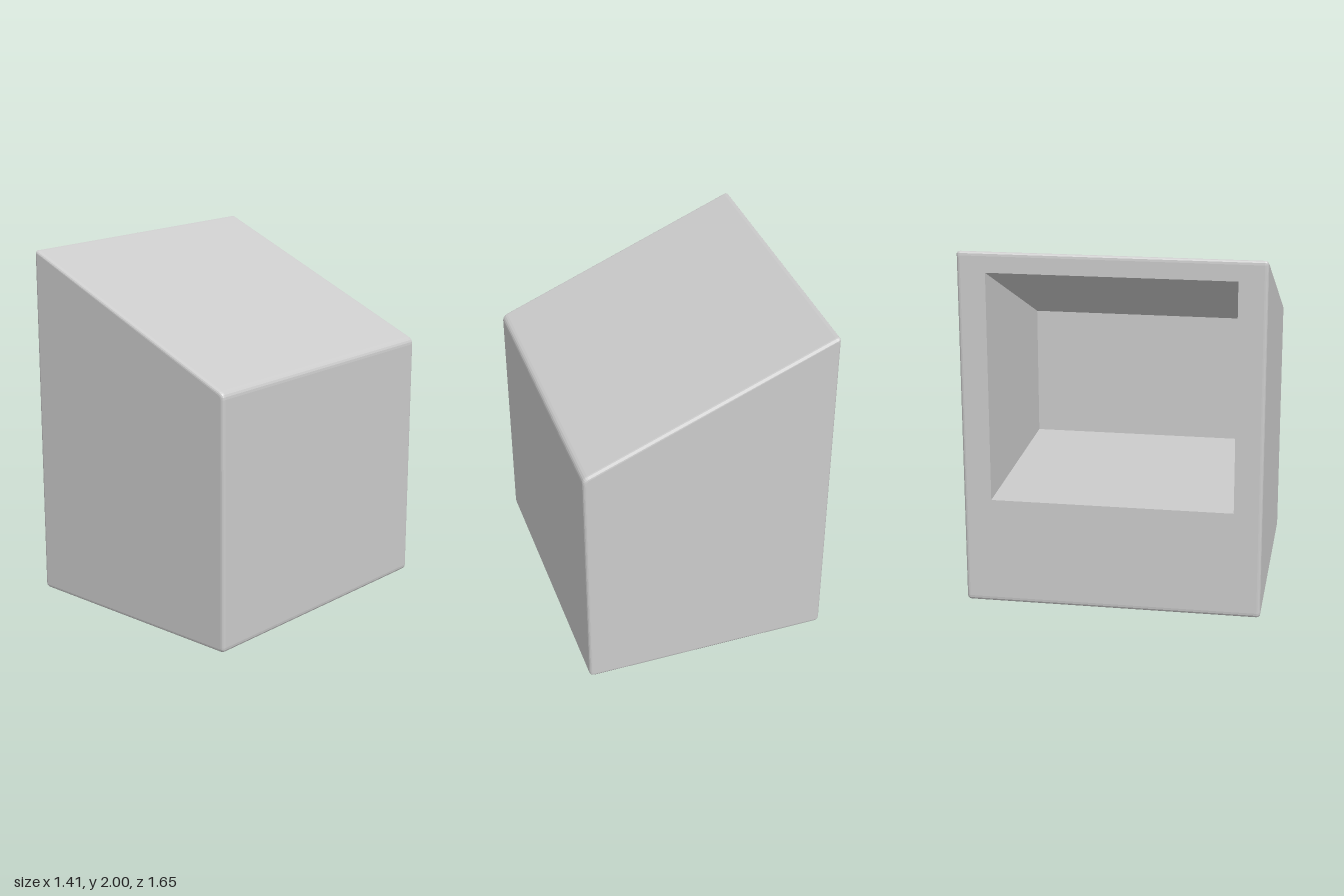
import * as THREE from 'three';

const HALF_X = 0.705, HALF_Z = 0.825, BEVEL = 0.02, ROUND = 0.03;
const TALL = 2.009, LOW = 1.43;                              // wall heights before rounding
const HOLE_Z = 0.67, HOLE_BOTTOM = 0.61, HOLE_TOP = 1.89;    // opening in the tall side

// Outline from corner points, with each corner softened over distance r
function outline(corners, r = 0) {
  const pts = corners.map(([x, y]) => new THREE.Vector2(x, y));
  const shape = new THREE.Shape();
  pts.forEach((p, i) => {
    const toward = (q) => p.clone().add(q.clone().sub(p).setLength(r));
    const a = r ? toward(pts[(i + pts.length - 1) % pts.length]) : p;
    if (i === 0) shape.moveTo(a.x, a.y);
    else shape.lineTo(a.x, a.y);
    if (r) {
      const b = toward(pts[(i + 1) % pts.length]);
      shape.quadraticCurveTo(p.x, p.y, b.x, b.y);
    }
  });
  shape.closePath();
  return shape;
}

// Drops the triangles lying in the plane of the tall side
function openTallSide(geometry) {
  const src = geometry.index ? geometry.toNonIndexed() : geometry;
  const p = src.attributes.position;
  const kept = [];
  for (let i = 0; i < p.count; i += 3) {
    const inPlane = [0, 1, 2].every((k) => p.getX(i + k) < -HALF_X + 1e-4);
    if (inPlane) continue;
    for (let k = 0; k < 3; k++) kept.push(p.getX(i + k), p.getY(i + k), p.getZ(i + k));
  }
  const out = new THREE.BufferGeometry();
  out.setAttribute('position', new THREE.Float32BufferAttribute(kept, 3));
  return out;
}

export function createModel() {
  const group = new THREE.Group();
  const material = new THREE.MeshStandardMaterial({ color: 0xcccccc });
  const add = (name, geometry) => {
    geometry.computeVertexNormals();
    const mesh = new THREE.Mesh(geometry, material);
    mesh.name = name;
    group.add(mesh);
  };

  // Outer shell with sloped roof and softened edges
  const shell = new THREE.ExtrudeGeometry(
    outline([[-HALF_X, 0], [HALF_X, 0], [HALF_X, LOW], [-HALF_X, TALL]], ROUND),
    {
      depth: 2 * (HALF_Z - BEVEL), curveSegments: 4, bevelEnabled: true,
      bevelSize: BEVEL, bevelThickness: BEVEL, bevelOffset: -BEVEL, bevelSegments: 4,
    },
  );
  shell.translate(0, 0, -(HALF_Z - BEVEL));
  add('outerShell', openTallSide(shell));

  // Flat frame around the opening
  const w = HALF_Z - BEVEL;
  const frame = outline([[-w, ROUND], [w, ROUND], [w, TALL - ROUND], [-w, TALL - ROUND]]);
  frame.holes.push(outline([
    [-HOLE_Z, HOLE_BOTTOM], [-HOLE_Z, HOLE_TOP], [HOLE_Z, HOLE_TOP], [HOLE_Z, HOLE_BOTTOM],
  ]));
  add('openingFrame', new THREE.ShapeGeometry(frame).rotateY(-Math.PI / 2).translate(-HALF_X, 0, 0));

  // Inner chamber with ceiling parallel to the roof; mirrored so its faces look inward
  const inner = HALF_X - 0.15;
  const slope = (TALL - LOW) / (2 * HALF_X);
  const chamber = new THREE.ExtrudeGeometry(
    outline([
      [-HALF_X, HOLE_BOTTOM], [inner, HOLE_BOTTOM],
      [inner, HOLE_TOP - slope * (inner + HALF_X)], [-HALF_X, HOLE_TOP],
    ]),
    { depth: 2 * HOLE_Z, bevelEnabled: false },
  );
  chamber.translate(0, 0, -HOLE_Z).scale(1, 1, -1);
  add('innerChamber', openTallSide(chamber));

  return group;
}
